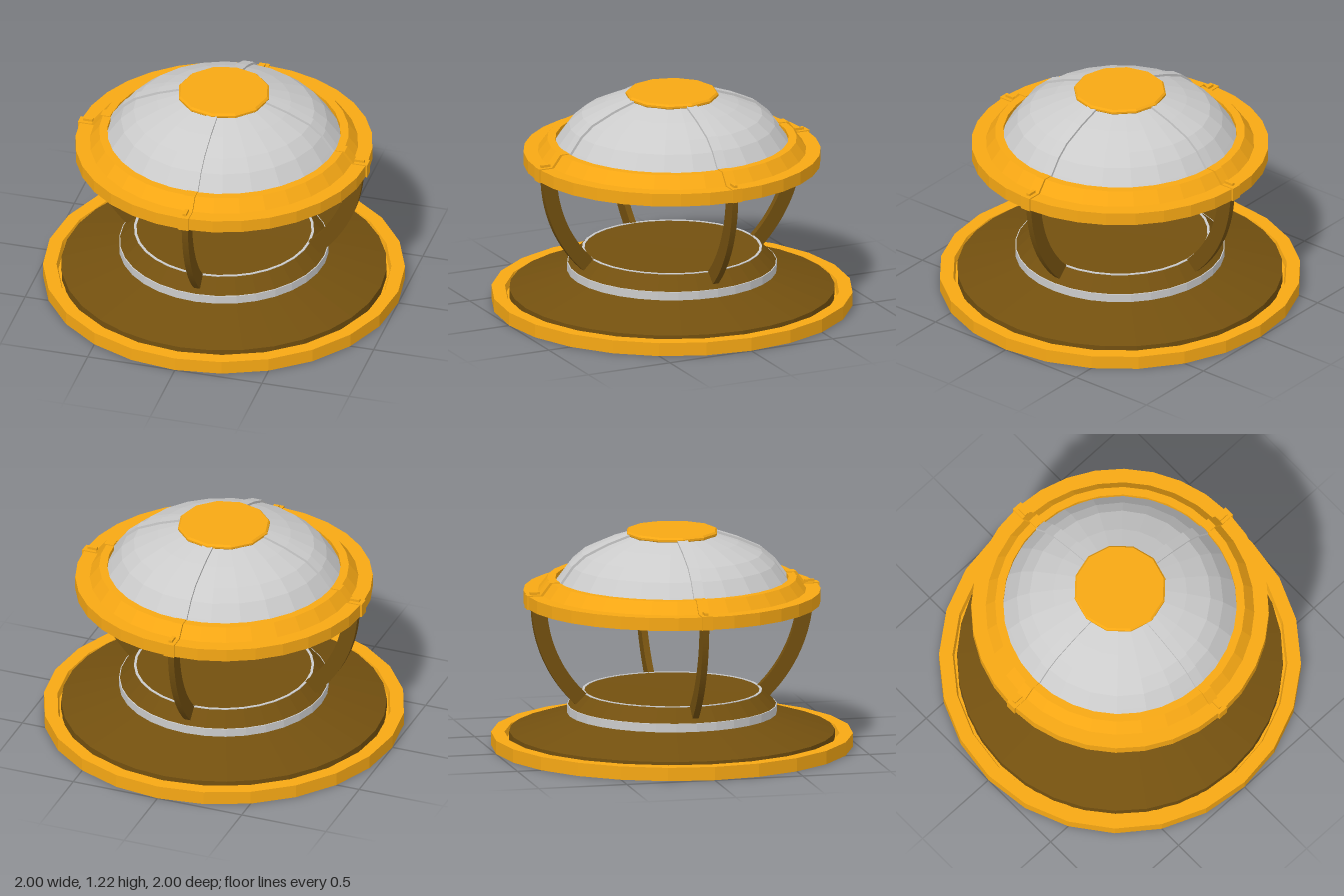
import * as THREE from 'three';

const material = (color) => new THREE.MeshStandardMaterial({ color, flatShading: true, side: THREE.DoubleSide });
const orange = material(0xf7a814);
const brown = material(0x73500f);
const grey = material(0xcccccc);

const points = (list) => list.map(([x, y]) => new THREE.Vector2(x, y));

export function createModel() {
  const group = new THREE.Group();

  const add = (name, geometry, mat, parent = group) => {
    const mesh = new THREE.Mesh(geometry, mat);
    mesh.name = name;
    parent.add(mesh);
    return mesh;
  };
  // Revolved part from [radius, height] pairs
  const turn = (name, profile, mat, sides = 24) =>
    add(name, new THREE.LatheGeometry(points(profile), sides), mat);
  // Flat outline in the radius/height plane, given a thickness across it
  const slab = (name, outline, width, mat, parent) => {
    const shape = outline instanceof THREE.Shape ? outline : new THREE.Shape(points(outline));
    const geometry = new THREE.ExtrudeGeometry(shape, { depth: width, bevelEnabled: false, curveSegments: 14 });
    geometry.translate(0, 0, -width / 2);
    return add(name, geometry, mat, parent);
  };

  // Base: outer rim with a groove, and a hollow sloping skirt
  turn('baseRim', [[0.9, 0], [1, 0], [1, 0.075], [0.925, 0.075], [0.915, 0.04], [0.9, 0.04], [0.9, 0]], orange);
  turn('baseSkirt', [[0.9, 0.03], [0.9, 0.088], [0.575, 0.19]], brown, 32);
  turn('baseBand', [[0.57, 0.188], [0.58, 0.19], [0.58, 0.237], [0.57, 0.239]], grey, 32);
  turn('basePlate', [[0.575, 0.238], [0.497, 0.315], [0.484, 0.315], [0, 0.313]], brown, 32);
  turn('plateTrim', [[0.484, 0.311], [0.498, 0.311], [0.498, 0.318], [0.484, 0.318], [0.484, 0.311]], grey, 32);

  // Upper collar with its closed underside
  turn('collar', [[0.8, 0.81], [0.822, 0.81], [0.822, 0.882], [0.742, 0.882], [0.69, 0.95],
    [0.645, 0.95], [0.645, 0.9]], orange, 32);
  turn('collarUnderside', [[0, 0.81], [0.815, 0.81]], brown, 32);

  // Faceted dome and its cap
  const dome = [[0.65, 0.92], [0.625, 0.955], [0.57, 1.03], [0.5, 1.09], [0.37, 1.15], [0.24, 1.195]];
  turn('dome', [...dome, [0, 1.2]], grey, 24);
  turn('domeCap', [[0, 1.19], [0.25, 1.19], [0.257, 1.197], [0.257, 1.208], [0.247, 1.218], [0, 1.218]], orange, 12);

  // Curved strut shape
  const strutShape = new THREE.Shape();
  const centreY = 0.84;
  const outer = Math.asin((centreY - 0.245) / 0.8);
  const inner = Math.asin((centreY - 0.285) / 0.715);
  strutShape.absarc(0, centreY, 0.8, -0.02, -outer, true);
  strutShape.absarc(0, centreY, 0.715, -inner, -0.02, false);
  strutShape.closePath();

  // Four quarters: strut, peg, collar clip, dome rib and underside beam
  for (let i = 0; i < 4; i++) {
    const quarter = new THREE.Group();
    quarter.name = 'quarter' + (i + 1);
    quarter.rotation.y = i * Math.PI / 2;
    group.add(quarter);

    slab('strut', strutShape, 0.035, brown, quarter);
    slab('strutPeg', [[0.752, 0.86], [0.807, 0.86], [0.807, 0.902], [0.752, 0.902]], 0.02, orange, quarter);
    slab('collarClip', [[0.8, 0.81], [0.83, 0.81], [0.83, 0.888], [0.752, 0.888], [0.7, 0.955],
      [0.645, 0.955], [0.645, 0.86]], 0.06, orange, quarter);

    const raised = dome.map(([r, y]) => [r + 0.006, y + 0.01]);
    const sunk = dome.map(([r, y]) => [r - 0.03, y - 0.03]).reverse();
    slab('domeRib', [...raised, ...sunk], 0.06, grey, quarter);

    const beam = add('undersideBeam', new THREE.BoxGeometry(0.72, 0.01, 0.03), brown, quarter);
    beam.position.set(0.36, 0.808, 0);
  }
  return group;
}
